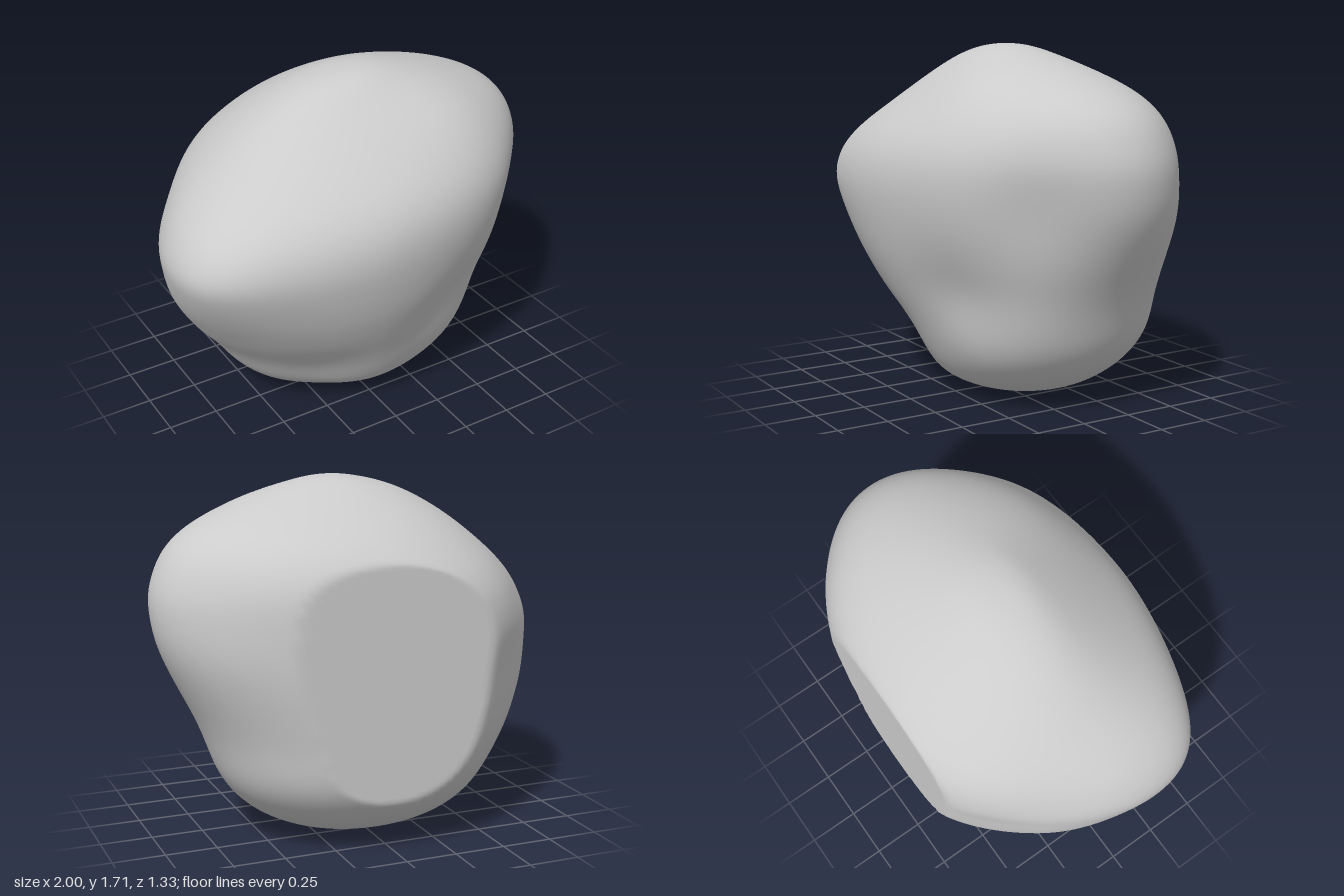
import * as THREE from 'three';

// Height levels: y, left-hand x, right-hand x, front z, back z (before the flat cut)
const LEVELS = [
  [-0.005, 0.04, 0.04, -0.10, -0.10],
  [0.02, -0.21, 0.27, 0.11, -0.31],
  [0.085, -0.45, 0.46, 0.29, -0.49],
  [0.19, -0.58, 0.60, 0.365, -0.62],
  [0.30, -0.65, 0.68, 0.415, -0.70],
  [0.40, -0.72, 0.72, 0.46, -0.735],
  [0.50, -0.80, 0.755, 0.51, -0.75],
  [0.60, -0.86, 0.80, 0.555, -0.765],
  [0.70, -0.915, 0.855, 0.595, -0.775],
  [0.80, -0.955, 0.91, 0.625, -0.78],
  [0.90, -0.985, 0.96, 0.648, -0.78],
  [1.00, -1.007, 0.995, 0.665, -0.775],
  [1.10, -0.975, 1.01, 0.668, -0.765],
  [1.20, -0.91, 1.01, 0.65, -0.75],
  [1.30, -0.80, 0.975, 0.60, -0.715],
  [1.40, -0.66, 0.92, 0.51, -0.64],
  [1.50, -0.52, 0.80, 0.40, -0.52],
  [1.59, -0.375, 0.58, 0.28, -0.36],
  [1.66, -0.225, 0.35, 0.175, -0.22],
  [1.70, -0.06, 0.20, 0.10, -0.12],
  [1.713, 0.08, 0.08, 0.00, 0.00],
];
const LAST = LEVELS.length - 1;
const FLAT_BACK = -0.665;

// Hollows (+) and swellings (-): centre, radius, depth
const DENTS = [
  // front right: crease above a low swelling
  [0.36, 0.58, 0.46, 0.24, 0.03],
  [0.36, 0.33, 0.34, 0.20, -0.025],
  [0.58, 0.36, 0.22, 0.22, -0.025],
  // right: groove beside the shoulder, which runs up to the top
  [0.86, 1.02, 0.28, 0.30, 0.065],
  [0.38, 1.50, 0.32, 0.26, -0.03],
  [0.82, 1.25, -0.42, 0.25, 0.015],
  // left: sloping underside and the hollow towards the back
  [-0.35, 0.20, 0.32, 0.24, 0.035],
  [-0.82, 1.10, -0.30, 0.28, 0.025],
  [-0.66, 0.80, -0.60, 0.32, 0.05],
];

// A level; past either pole the sides swap, so the surface rounds over
function row(k) {
  if (k >= 0 && k <= LAST) return LEVELS[k];
  const [y, x0, x1, zf, zb] = LEVELS[k < 0 ? -k : 2 * LAST - k];
  return [y, x1, x0, zb, zf];
}

// Cubic B-spline through the level table
function levelAt(t) {
  const i = Math.min(Math.floor(t), LAST - 1);
  const f = t - i, g = 1 - f;
  const w = [g ** 3, 3 * f ** 3 - 6 * f * f + 4, 3 * g ** 3 - 6 * g * g + 4, f ** 3];
  return LEVELS[0].map((_, c) => w.reduce((sum, wk, k) => sum + (wk * row(i - 1 + k)[c]) / 6, 0));
}

// Point on the boulder: four elliptic quarters per level, then dents and flat cut
function boulderPoint(t, angle) {
  const [y, x0, x1, zf, zb] = levelAt(t);
  const c = Math.cos(angle), s = Math.sin(angle);
  const mid = Math.exp(-(((y - 1.05) / 0.4) ** 2));
  const midX = (x0 + x1) / 2 - 0.11 * mid;
  const midZ = (zf + zb) / 2;
  // The two side extremes sit at different depths
  const sideZ = midZ + mid * (c < 0 ? 0.22 : -0.05) * Math.abs(c) ** 3;
  const p = new THREE.Vector3(
    midX + c * (c > 0 ? x1 - midX : midX - x0), y,
    sideZ + s * (s > 0 ? zf - midZ : midZ - zb));
  const out = new THREE.Vector3(p.x, (p.y - 0.85) * 0.5, p.z).normalize();
  const move = DENTS.reduce((sum, [dx, dy, dz, r, depth]) => {
    const d2 = (p.x - dx) ** 2 + (p.y - dy) ** 2 + (p.z - dz) ** 2;
    return sum - depth * Math.exp(-d2 / (r * r));
  }, 0);
  p.addScaledVector(out, move);
  p.z = Math.max(FLAT_BACK, p.z);
  return p;
}

function boulderGeometry(rings = 120, sides = 144) {
  const pos = [], index = [];
  pos.push(...boulderPoint(0, 0));
  for (let i = 1; i < rings; i++) {
    for (let j = 0; j < sides; j++) {
      pos.push(...boulderPoint((i / rings) * LAST, (j / sides) * Math.PI * 2));
    }
  }
  pos.push(...boulderPoint(LAST, 0));
  const top = pos.length / 3 - 1;
  const at = (i, j) => (i === 0 ? 0 : i === rings ? top : 1 + (i - 1) * sides + (j % sides));
  for (let i = 0; i < rings; i++) {
    for (let j = 0; j < sides; j++) {
      const a = at(i, j), b = at(i, j + 1), c = at(i + 1, j + 1), d = at(i + 1, j);
      if (i < rings - 1) index.push(a, d, c);
      if (i > 0) index.push(a, c, b);
    }
  }
  const g = new THREE.BufferGeometry();
  g.setAttribute('position', new THREE.Float32BufferAttribute(pos, 3));
  g.setIndex(index);
  g.computeVertexNormals();
  return g;
}

export function createModel() {
  const group = new THREE.Group();
  group.name = 'rock';
  const boulder = new THREE.Mesh(
    boulderGeometry(),
    new THREE.MeshStandardMaterial({ color: 0xcccccc }));
  boulder.name = 'boulder';
  group.add(boulder);
  return group;
}
